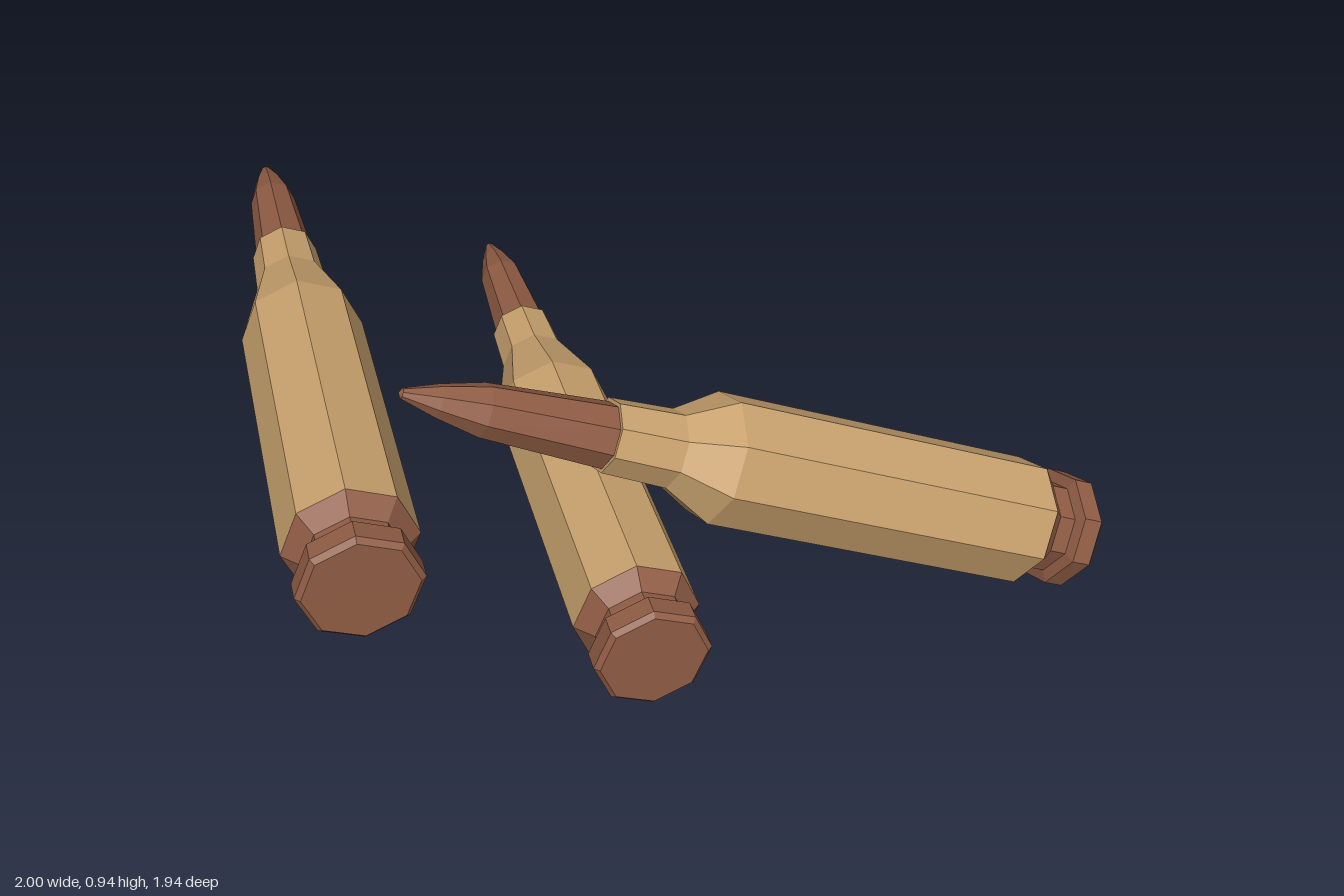
import * as THREE from 'three';

const SIDES = 8;

export function createModel() {
  const brass = new THREE.MeshStandardMaterial({ color: 0xc9a26e });
  brass.name = 'brass';
  brass.flatShading = true;
  const copper = new THREE.MeshStandardMaterial({ color: 0x8f5c44 });
  copper.name = 'copper';
  copper.flatShading = true;

  // Eight-sided turned part from [radius, height] pairs, bottom to top
  const turned = (name, profile, material) => {
    const points = profile.map(([r, y]) => new THREE.Vector2(r, y));
    const mesh = new THREE.Mesh(new THREE.LatheGeometry(points, SIDES), material);
    mesh.name = name;
    return mesh;
  };

  // One round along +y, with a given shoulder length
  const makeRound = (name, shoulder) => {
    const round = new THREE.Group();
    round.name = name;
    const s = 0.08 + shoulder; // where the neck begins

    // Base: bevelled rim, extraction groove and flare up to the case
    round.add(turned('base', [
      [0, -0.955], [0.132, -0.955], [0.145, -0.943], [0.145, -0.892],
      [0.115, -0.885], [0.115, -0.84], [0.158, -0.795],
    ], copper));

    // Case: body, tapered shoulder, neck and mouth
    round.add(turned('case', [
      [0.158, -0.795], [0.156, 0.08], [0.093, s], [0.087, s + 0.165], [0.07, s + 0.165],
    ], brass));

    // Pointed bullet
    round.add(turned('bullet', [
      [0.078, s + 0.163], [0.062, s + 0.465], [0.038, s + 0.57],
      [0.012, s + 0.653], [0, s + 0.66],
    ], copper));
    return round;
  };

  const model = new THREE.Group();
  model.name = 'cartridges';

  // Two rounds lying parallel, pointing back
  [['leftBackRound', -0.18, 0.158], ['rightBackRound', -0.842, 0.53]].forEach(([name, x, y]) => {
    const round = makeRound(name, 0.23);
    round.rotation.x = -Math.PI / 2;
    round.position.set(x, y, 0);
    model.add(round);
  });

  // Tilted round across the front, with a shorter shoulder
  const tilted = makeRound('tiltedRound', 0.115);
  tilted.rotation.z = THREE.MathUtils.degToRad(66);
  tilted.position.set(0.07, 0.583, 0.807);
  model.add(tilted);

  return model;
}
